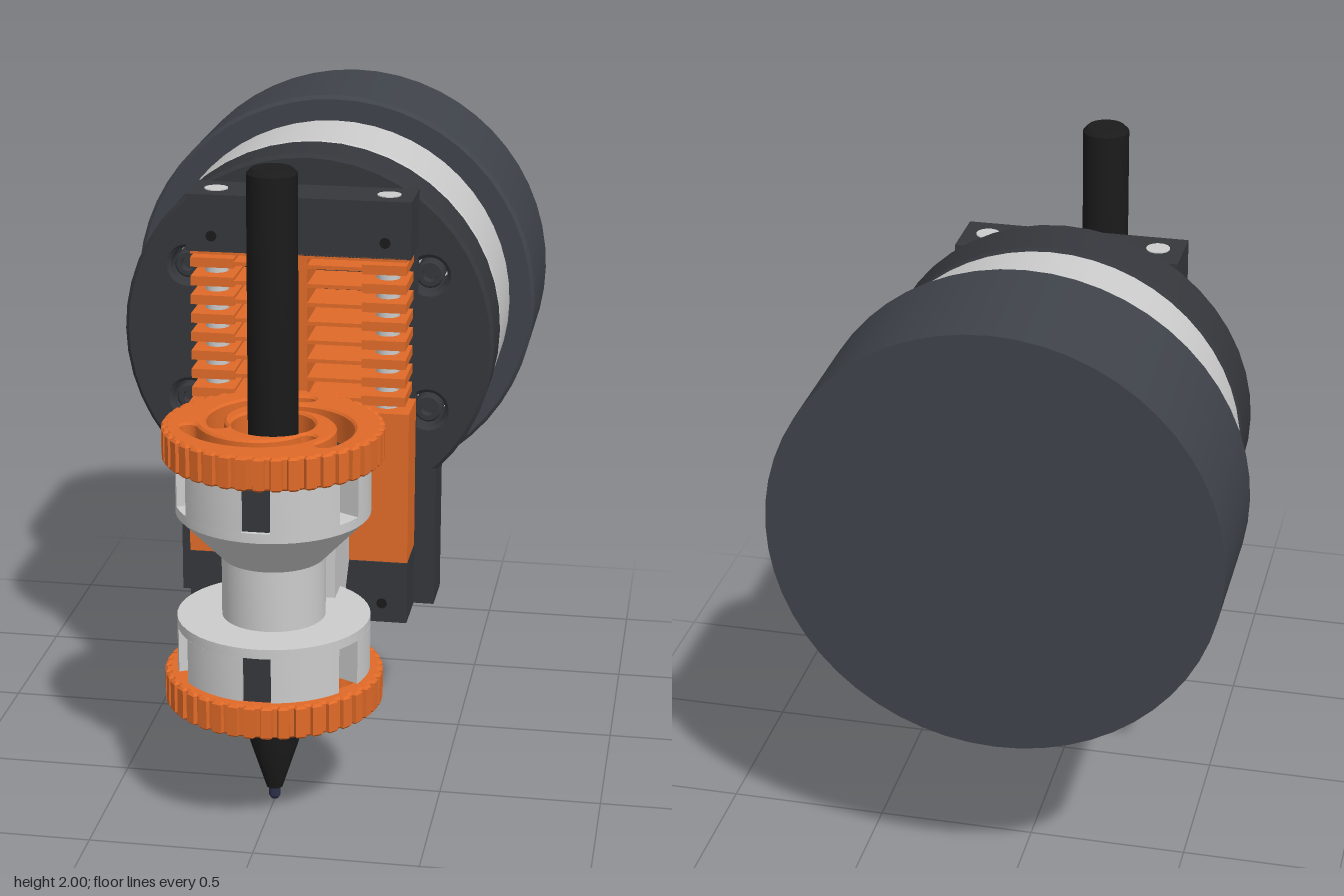
import * as THREE from 'three';
import { toCreasedNormals } from 'three/addons/utils/BufferGeometryUtils.js';

const mat = (color) => new THREE.MeshStandardMaterial({ color });
const ORANGE = mat(0xe06a28), DARK = mat(0x35373c), MOTOR = mat(0x3f434a);
const GREY = mat(0xcccccc), BLACK = mat(0x1b1b1c), TIP = mat(0x2c3048);
const PEN_Z = 0.632, MOTOR_Y = 1.315, BORE = 0.125, BODY_R = 0.293;

function add(parent, name, geometry, material, x = 0, y = 0, z = 0) {
  const mesh = new THREE.Mesh(geometry, material);
  mesh.name = name;
  mesh.position.set(x, y, z);
  parent.add(mesh);
  return mesh;
}

// Box given by its extents on each axis
function block(parent, name, material, [x0, x1], [y0, y1], [z0, z1]) {
  return add(parent, name, new THREE.BoxGeometry(x1 - x0, y1 - y0, z1 - z0), material,
    (x0 + x1) / 2, (y0 + y1) / 2, (z0 + z1) / 2);
}

const cyl = (r0, r1, h, n = 32) => new THREE.CylinderGeometry(r0, r1, h, n);
const vecs = (pts) => pts.map(([x, y]) => new THREE.Vector2(x, y));
const lathe = (pts, n = 48) => toCreasedNormals(new THREE.LatheGeometry(vecs(pts), n), 0.5);
const circle = (r, x = 0, y = 0) => new THREE.Path().absarc(x, y, r, 0, Math.PI * 2, true);
const polar = (r, a) => [r * Math.cos(a), r * Math.sin(a)];

// Extrude a plan shape upwards from y0 to y1
function plan(shape, y0, y1, bevel = 0) {
  const g = new THREE.ExtrudeGeometry(shape, {
    depth: y1 - y0 - 2 * bevel, curveSegments: 24, bevelEnabled: bevel > 0,
    bevelSize: bevel, bevelThickness: bevel, bevelOffset: -bevel, bevelSegments: 1,
  });
  return toCreasedNormals(g.translate(0, 0, y0 + bevel).rotateX(-Math.PI / 2), 0.4);
}

// Spiral slot with rounded ends
function spiralSlot(start) {
  const outer = [], inner = [], hw = 0.027, n = 24;
  const mid = (t) => [0.25 - 0.088 * t, start + t * 2.12];
  for (let i = 0; i <= n; i++) {
    const [r, a] = mid(i / n);
    outer.push(polar(r + hw, a));
    inner.unshift(polar(r - hw, a));
  }
  const cap = (t, sign) => {
    const [r, a] = mid(t), [cx, cy] = polar(r, a), pts = [];
    for (let i = 1; i < 8; i++) {
      const [x, y] = polar(hw, a + (sign > 0 ? 0 : Math.PI) + (i * Math.PI) / 8);
      pts.push([cx + x, cy + y]);
    }
    return pts;
  };
  return new THREE.Path(vecs([...outer, ...cap(1, 1), ...inner, ...cap(0, -1)]));
}

// Knurled scroll ring, slotted body and three jaws; y = 0 is where ring meets body
function makeChuck(name) {
  const chuck = new THREE.Group();
  chuck.name = name;

  const rim = [], teeth = 40;
  for (let i = 0; i < teeth; i++) {
    [[0, 0.332], [0.62, 0.332], [0.68, 0.32], [0.94, 0.32]].forEach(([f, r]) =>
      rim.push(polar(r, ((i + f) / teeth) * Math.PI * 2)));
  }
  const ring = new THREE.Shape(vecs(rim));
  ring.holes.push(circle(BORE));
  for (let k = 0; k < 3; k++) ring.holes.push(spiralSlot(1.33 + (k * Math.PI * 2) / 3));
  add(chuck, 'scrollRing', plan(ring, 0, 0.103, 0.007), ORANGE);

  // Body outline with six notches
  const outline = [], half = 0.043;
  for (let k = 0; k < 6; k++) {
    const a = -Math.PI / 2 + (k * Math.PI) / 3, h = Math.asin(half / BODY_R);
    const floor = Math.hypot(0.2, half), hf = Math.atan2(half, 0.2);
    outline.push(polar(floor, a - hf), polar(floor, a + hf));
    for (let i = 0; i <= 8; i++) {
      outline.push(polar(BODY_R, a + h + (i / 8) * (Math.PI / 3 - 2 * h)));
    }
  }
  const body = new THREE.Shape(vecs(outline));
  body.holes.push(circle(BORE));
  add(chuck, 'slottedBody', plan(body, -0.14, 0), GREY);

  // Jaws with pointed tips gripping the pen
  const jaw = new THREE.Shape(vecs([[0.072, -0.012], [0.11, -0.04], [0.286, -0.04],
    [0.286, 0.04], [0.11, 0.04], [0.072, 0.012]]));
  for (let k = 0; k < 3; k++) {
    add(chuck, 'jaw', plan(jaw, -0.137, 0.004), DARK).rotation.y = -Math.PI / 2 + (k * Math.PI * 2) / 3;
  }
  return chuck;
}

function makeMotor() {
  const motor = new THREE.Group();
  motor.name = 'motor';
  const turned = (name, pts, m) => add(motor, name, lathe(pts, 56).rotateX(Math.PI / 2), m);
  turned('motorHousing', [[0, -0.965], [0.672, -0.965], [0.672, -0.515], [0.66, -0.5], [0, -0.5]], MOTOR);
  turned('motorBand', [[0, -0.51], [0.59, -0.51], [0.59, -0.19], [0.582, -0.18], [0, -0.18]], GREY);
  turned('motorSpacer', [[0, -0.2], [0.5, -0.2], [0.5, -0.16], [0, -0.16]], GREY);

  // Mounting disc with counterbored screws
  const disc = new THREE.Shape().absarc(0, 0, 0.592, 0, Math.PI * 2, false);
  const spots = [[-1, -1], [-1, 1], [1, -1], [1, 1]].map(([i, j]) => [i * 0.385, j * 0.22]);
  spots.forEach(([x, y]) => disc.holes.push(circle(0.056, x, y)));
  add(motor, 'mountingDisc', plan(disc, -0.175, 0.025, 0.012).rotateX(Math.PI / 2), DARK);
  const head = lathe([[0, -0.17], [0.044, -0.17], [0.044, 0.008], [0.038, 0.014], [0.023, 0.014], [0.021, -0.015], [0, -0.015]], 24);
  spots.forEach(([x, y]) => add(motor, 'discScrew', head, DARK, x, y).rotation.x = Math.PI / 2);
  motor.position.y = MOTOR_Y;
  return motor;
}

function makeSlide() {
  const slide = new THREE.Group();
  slide.name = 'slide';
  const W = [-0.35, 0.35], D = [0.037, 0.207];
  block(slide, 'backPlate', DARK, W, [0.44, 1.81], [0.015, 0.034]);
  block(slide, 'topBlock', DARK, W, [1.63, 1.81], [0.03, 0.207]);
  block(slide, 'bottomBlock', DARK, W, [0.437, 0.64], [0.02, 0.207]);
  block(slide, 'motorBracket', DARK, [-0.415, 0.415], [0.435, 0.897], [-0.14, 0.027]);
  block(slide, 'carriage', ORANGE, W, [0.642, 1.135], D);
  for (const s of [-1, 1]) {
    add(slide, 'guideRod', cyl(0.037, 0.037, 1.38), GREY, s * 0.27, 1.123, 0.12);
    for (const y of [1.68, 0.5]) {
      add(slide, 'setScrew', cyl(0.017, 0.017, 0.01, 16), BLACK, s * 0.27, y, 0.2035).rotation.x = Math.PI / 2;
    }
  }

  // Flexure spring: thin leaves with thick ends around the rods, joined on a spine
  for (let i = 0; i < 8; i++) {
    const y = 1.595 - i * 0.06;
    block(slide, 'springLeaf', ORANGE, [-0.21, 0.21], [y - 0.006, y + 0.006], D);
    for (const s of [-1, 1]) {
      const e = s < 0 ? [-0.337, -0.2] : [0.2, 0.337];
      block(slide, 'springEnd', ORANGE, e, [y - 0.015, y + 0.015], D);
    }
  }
  block(slide, 'springSpine', ORANGE, [-0.03, 0.03], [1.13, 1.635], D);
  block(slide, 'springTop', ORANGE, [-0.337, 0.337], [1.622, 1.634], D);

  // Dovetail on the carriage front
  const dovetail = new THREE.Shape(vecs([[-0.06, -0.2], [-0.125, -0.27], [0.125, -0.27], [0.06, -0.2]]));
  add(slide, 'dovetail', plan(dovetail, 0.66, 1.135), ORANGE);
  return slide;
}

function makeHolder() {
  const holder = new THREE.Group();
  holder.name = 'penHolder';

  // Arm from dovetail to the neck
  const side = new THREE.Shape(vecs([[0.213, 0.64], [0.385, 0.46], [0.49, 0.46], [0.49, 1.105], [0.213, 1.105]]));
  const arm = new THREE.ExtrudeGeometry(side, { depth: 0.33, bevelEnabled: false });
  add(holder, 'holderArm', arm.rotateY(-Math.PI / 2), GREY, 0.165);

  // Hollow neck with flared top
  const neck = lathe([[BORE, 0.595], [BODY_R, 0.595], [BODY_R, 0.625], [0.157, 0.625], [0.157, 0.815],
    [BODY_R, 0.957], [BODY_R, 0.987], [BORE, 0.987], [BORE, 0.595]]);
  add(holder, 'holderNeck', neck, GREY, 0, 0, PEN_Z);

  const upper = makeChuck('upperChuck');
  upper.position.set(0, 1.127, PEN_Z);
  const lower = makeChuck('lowerChuck');
  lower.position.set(0, 0.455, PEN_Z);
  lower.rotation.z = Math.PI;
  holder.add(upper, lower);
  return holder;
}

function makePen() {
  const pen = new THREE.Group();
  pen.name = 'pen';
  add(pen, 'penBarrel', lathe([[0, 0.045], [0.025, 0.045], [0.075, 0.2], [0.075, 1.985], [0.06, 2], [0, 2]], 32), BLACK);
  add(pen, 'penTip', lathe([[0, 0], [0.011, 0.004], [0.018, 0.015], [0.018, 0.05], [0, 0.05]], 20), TIP);
  pen.position.z = PEN_Z;
  return pen;
}

export function createModel() {
  const model = new THREE.Group();
  model.name = 'penPlotterHead';
  model.add(makeMotor(), makeSlide(), makeHolder(), makePen());
  return model;
}
